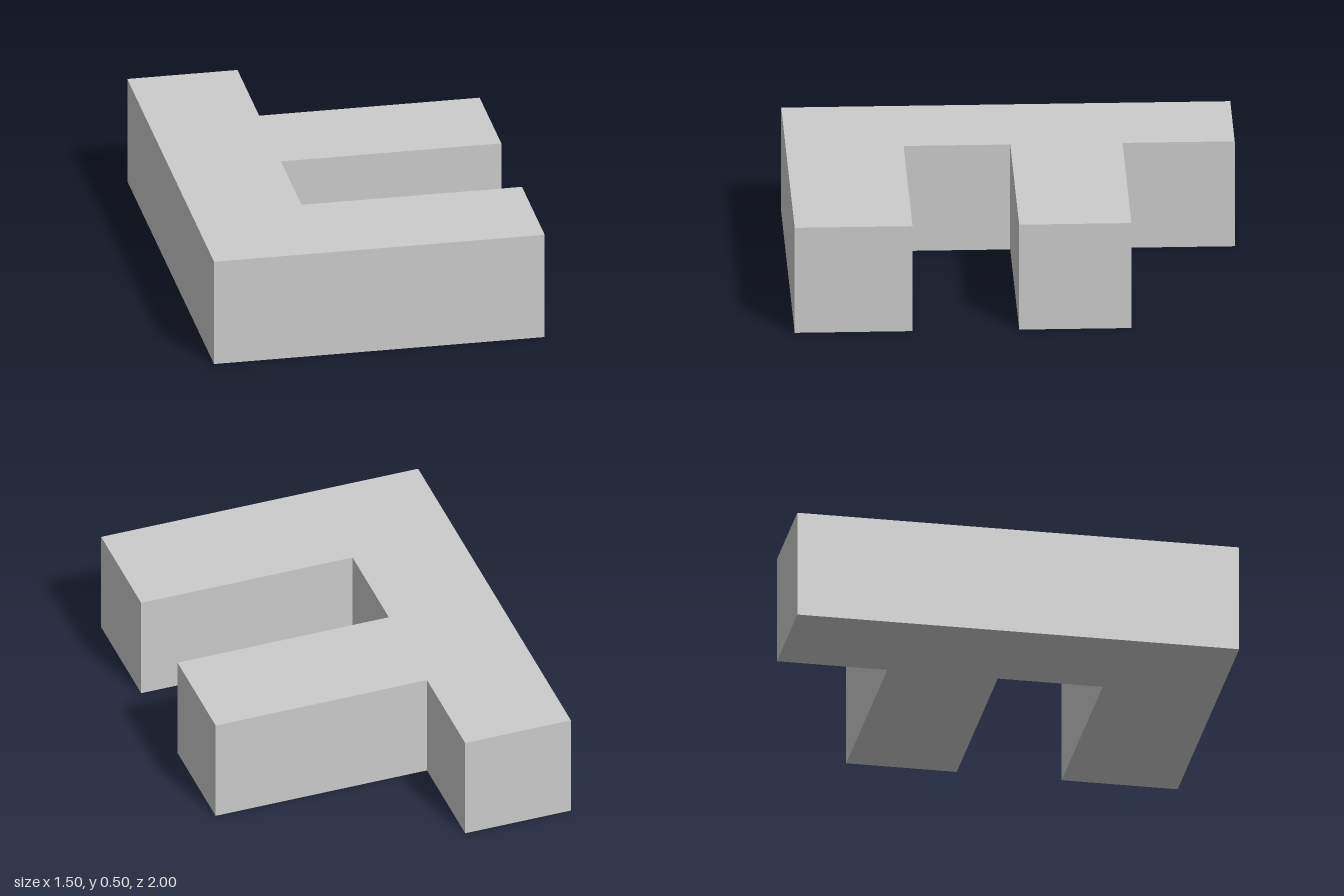
import * as THREE from 'three';

export function createModel() {
  const group = new THREE.Group();
  const height = 0.5;

  // Plan outline as [x, z]: a long spine with two arms towards +x
  const plan = [
    [-0.75, 1], [0.75, 1], [0.75, 0.475], [-0.25, 0.475],
    [-0.25, 0], [0.75, 0], [0.75, -0.5], [-0.25, -0.5],
    [-0.25, -1], [-0.75, -1],
  ];
  const shape = new THREE.Shape(plan.map(([x, z]) => new THREE.Vector2(x, -z)));

  // Extrude the outline and lay it flat so the depth points up
  const geometry = new THREE.ExtrudeGeometry(shape, { depth: height, bevelEnabled: false });
  geometry.rotateX(-Math.PI / 2);

  const block = new THREE.Mesh(
    geometry,
    new THREE.MeshStandardMaterial({ color: 0xcccccc, flatShading: true })
  );
  block.name = 'twoArmedBlock';
  group.add(block);
  return group;
}
